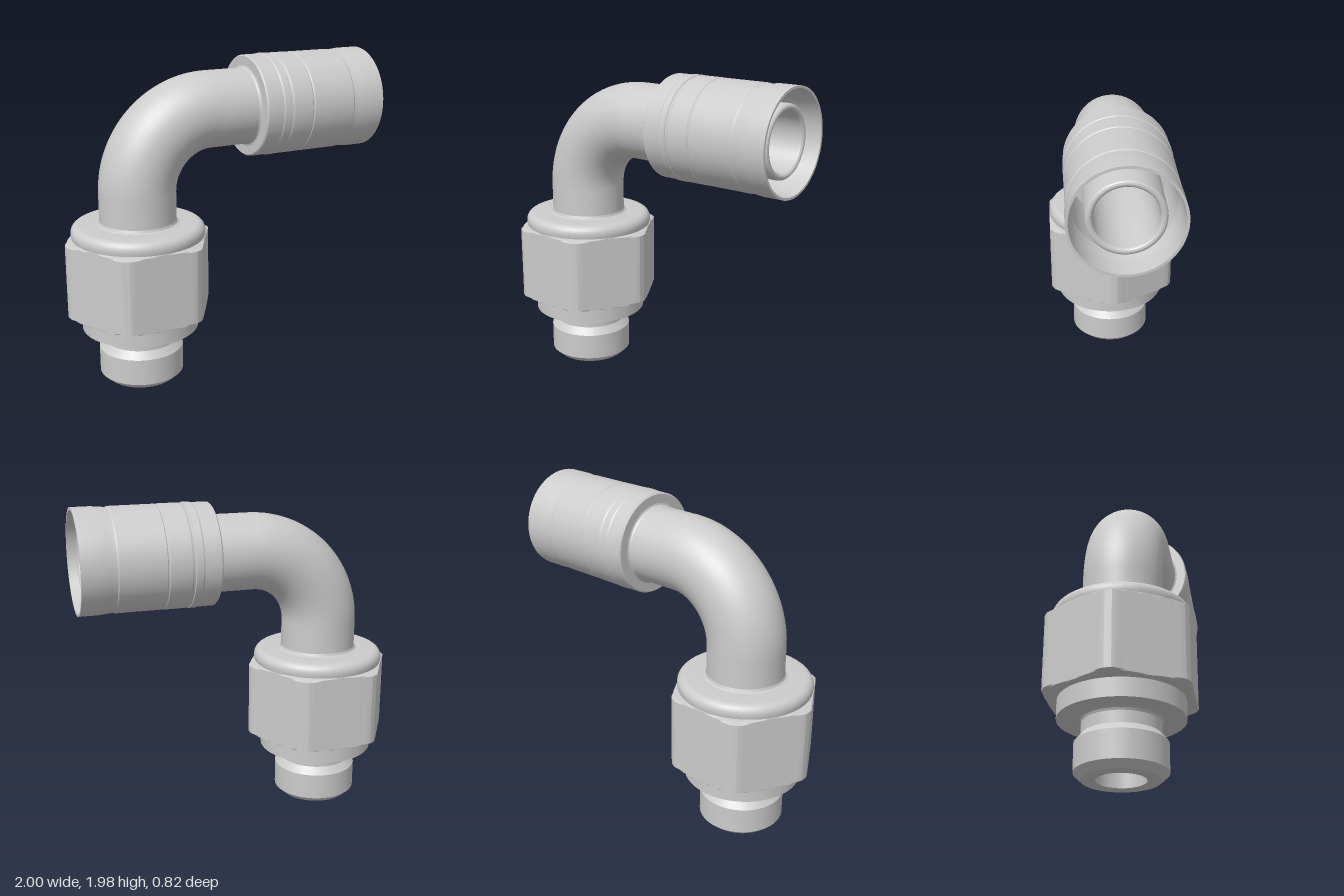
import * as THREE from 'three';
import { toCreasedNormals } from 'three/addons/utils/BufferGeometryUtils.js';

const AXIS_X = -0.54, AXIS_Y = 1.665; // vertical and horizontal pipe axes
const BEND = 0.465, PIPE = 0.235, BORE = 0.175;
const BEND_X = AXIS_X + BEND, BEND_Y = AXIS_Y - BEND;

const material = new THREE.MeshStandardMaterial({ color: 0xcccccc, side: THREE.DoubleSide });

function addMesh(group, name, geometry) {
  const mesh = new THREE.Mesh(geometry, material);
  mesh.name = name;
  group.add(mesh);
  return mesh;
}

// Turned part from [radius, height] pairs
function turned(profile, crease = 0.3) {
  const points = profile.map(([r, y]) => new THREE.Vector2(r, y));
  return toCreasedNormals(new THREE.LatheGeometry(points, 72), crease);
}

// Quarter-round profile points between two angles
function round(cr, cy, radius, from, to, steps = 6) {
  return Array.from({ length: steps + 1 }, (_, i) => {
    const a = from + (to - from) * i / steps;
    return [cr + radius * Math.cos(a), cy + radius * Math.sin(a)];
  });
}

// Hexagon whose corners are trimmed by a turned envelope, lofted ring by ring
function hexNut(apothem, rings) {
  const n = 144, positions = [], indices = [];
  for (const [limit, y] of rings) {
    for (let i = 0; i < n; i++) {
      const a = i / n * Math.PI * 2;
      const fromFlat = (a % (Math.PI / 3)) - Math.PI / 6;
      const r = Math.min(limit, apothem / Math.cos(fromFlat));
      positions.push(r * Math.cos(a), y, -r * Math.sin(a));
    }
  }
  for (let k = 0; k < rings.length - 1; k++) {
    for (let i = 0; i < n; i++) {
      const j = (i + 1) % n, a = k * n + i, b = k * n + j;
      indices.push(a, b, b + n, a, b + n, a + n);
    }
  }
  const geometry = new THREE.BufferGeometry();
  geometry.setAttribute('position', new THREE.Float32BufferAttribute(positions, 3));
  geometry.setIndex(indices);
  return toCreasedNormals(geometry, 0.3);
}

function bend(radius) {
  const geometry = new THREE.TorusGeometry(BEND, radius, 48, 40, Math.PI / 2);
  return geometry.rotateZ(Math.PI / 2).translate(BEND_X, BEND_Y, 0);
}

export function createModel() {
  const model = new THREE.Group();
  model.name = 'elbowFitting';

  // Threaded stud with undercut and washer shoulder, open bore
  const stud = addMesh(model, 'stud', turned([
    [0.14, 0], [0.22, 0], [0.263, 0.04], [0.263, 0.205], [0.225, 0.25], [0.225, 0.32],
    [0.231, 0.333], [0.245, 0.34], [0.363, 0.34], [0.363, 0.455], [0.14, 0.455], [0.14, 0],
  ]));

  // Hex nut with chamfered corners
  const nut = addMesh(model, 'hexNut', hexNut(0.412, [
    [0.15, 0.45], [0.412, 0.45], [0.435, 0.454], [0.46, 0.462],
    [0.46, 0.917], [0.435, 0.924], [0.412, 0.93], [0.15, 0.93],
  ]));

  // Rounded collar on top of the nut, filleted into the pipe
  const collar = addMesh(model, 'collar', turned([
    [0.405, 0.925], [0.41, 0.945], ...round(0.36, 0.96, 0.05, 0, Math.PI / 2),
    [0.255, 1.01], [0.241, 1.016], [PIPE, 1.03],
  ]));

  // Vertical leg, outer wall and bore
  const leg = addMesh(model, 'verticalPipe', turned([[PIPE, 1], [PIPE, BEND_Y]]));
  const legBore = addMesh(model, 'verticalBore', turned([[BORE, BEND_Y], [BORE, 0.9], [0.14, 0.87], [0.14, 0.45]]));
  for (const part of [stud, nut, collar, leg, legBore]) part.position.x = AXIS_X;

  // Quarter bend
  addMesh(model, 'bend', bend(PIPE));
  addMesh(model, 'bendBore', bend(BORE));

  // Horizontal parts are turned upright, then laid along +x
  const outlet = new THREE.Group();
  outlet.name = 'hoseEnd';
  outlet.rotation.z = -Math.PI / 2;
  outlet.position.y = AXIS_Y;
  model.add(outlet);

  addMesh(outlet, 'horizontalPipe', turned([
    [PIPE, BEND_X], [PIPE, 0.165], [0.24, 0.176], [0.25, 0.18],
  ]));

  // Hose nipple with rounded lip
  addMesh(outlet, 'nipple', turned([
    [0.215, 0.18], [0.215, 0.935], ...round(0.195, 0.935, 0.02, 0, Math.PI),
    [BORE, BEND_X],
  ]));

  // Crimped ferrule, open at the hose end
  addMesh(outlet, 'ferrule', turned([
    [0.22, 0.18], [0.305, 0.18], [0.313, 0.188], [0.313, 0.29], [0.317, 0.3],
    [0.317, 0.34], [0.311, 0.344], [0.311, 0.352], [0.315, 0.365], [0.315, 0.492],
    [0.31, 0.497], [0.31, 0.503], [0.314, 0.508], [0.314, 0.785], [0.309, 0.793],
    [0.309, 0.8], [0.313, 0.84], [0.317, 0.88], [0.317, 1], [0.302, 1],
    [0.296, 0.86], [0.28, 0.79], [0.28, 0.4], [0.21, 0.4],
  ], 0.2));

  return model;
}
